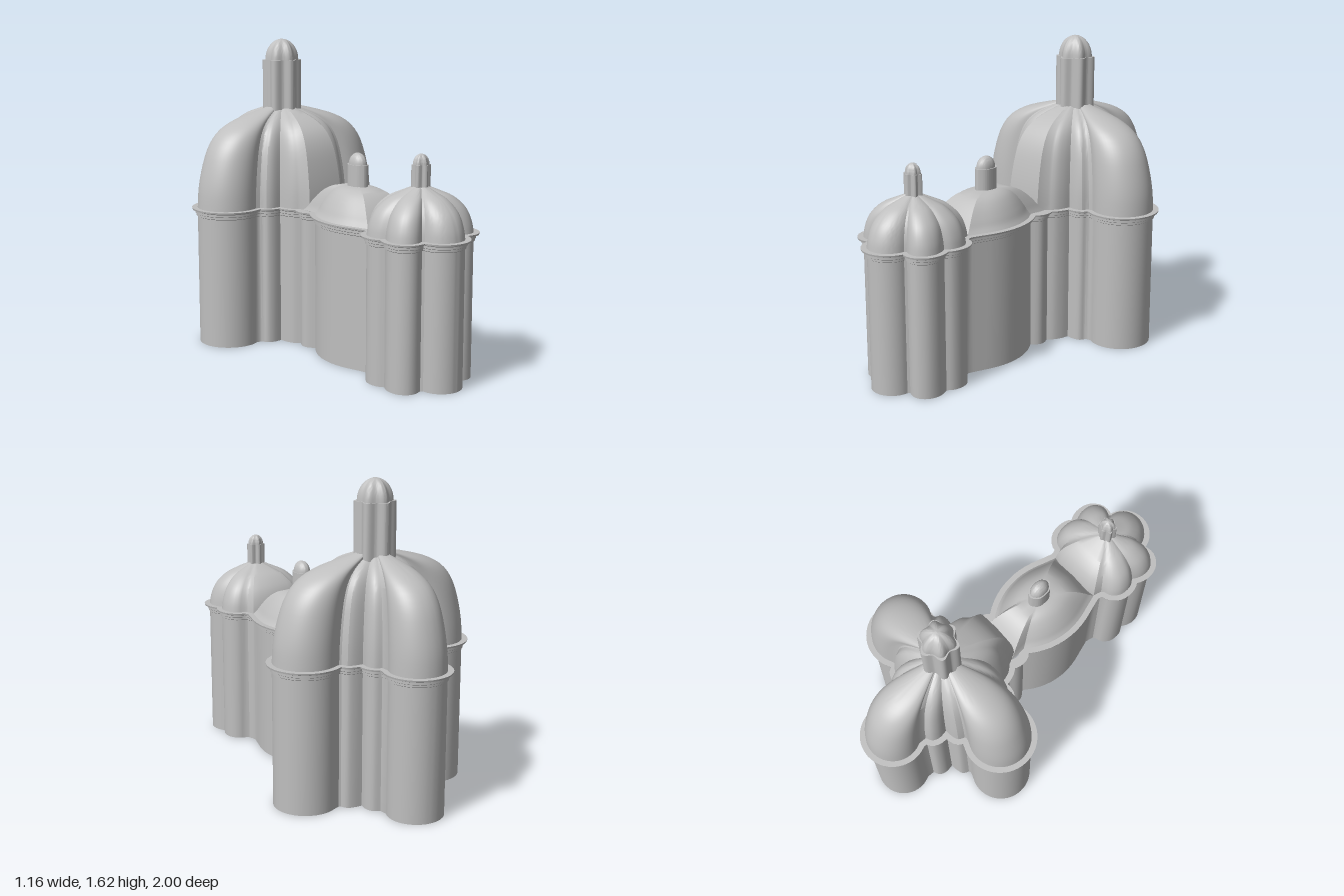
import * as THREE from 'three';
import { toCreasedNormals } from 'three/addons/utils/BufferGeometryUtils.js';

const stone = new THREE.MeshStandardMaterial({ color: 0xbfbfbf, side: THREE.DoubleSide });
stone.name = 'pale grey stone';

// Points on an arc, angles in degrees measured from +x towards +z
function arc(cx, cz, r, a0, a1, n = 8) {
  return Array.from({ length: n + 1 }, (_, i) => {
    const a = THREE.MathUtils.degToRad(a0 + (a1 - a0) * i / n);
    return [cx + r * Math.cos(a), cz + r * Math.sin(a)];
  });
}

// Smooth bays of the floor plan (x > 0 half, back to front); corners fall between bays
const mainBays = [
  arc(0, -0.825, 0.145, -90, 28),
  [[0.128, -0.757], [0.13, -0.715]],
  [[0.13, -0.715], [0.163, -0.698], [0.178, -0.66], [0.172, -0.612]],
  [[0.172, -0.612], [0.215, -0.608], [0.25, -0.595], [0.27, -0.56], [0.302, -0.568]],
  arc(0.385, -0.425, 0.165, -120, 120, 16),
  [[0.302, -0.282], [0.275, -0.275], [0.26, -0.245], [0.225, -0.232], [0.178, -0.235]],
  [[0.178, -0.235], [0.172, -0.195], [0.155, -0.15], [0.127, -0.12]],
];
const linkBay = [[0.127, -0.12], [0.145, -0.085], [0.145, -0.045], [0.115, -0.005]];
const naveBay = [[0.115, -0.005], [0.155, 0.055], [0.19, 0.14], [0.204, 0.24], [0.195, 0.33], [0.168, 0.42], [0.15, 0.48]];
const towerBays = [
  [[0.15, 0.48], [0.165, 0.53], [0.21, 0.547], [0.242, 0.585], [0.25, 0.63], [0.243, 0.67], [0.222, 0.7]],
  [[0.222, 0.7], [0.24, 0.735], [0.248, 0.775], [0.237, 0.825], [0.2, 0.86], [0.16, 0.865], [0.12, 0.85]],
  arc(0, 0.86, 0.11, 0, 90),
];

// Sample the bays with splines, then mirror them into one closed loop
function plan(bays) {
  const half = [];
  for (const bay of bays) {
    const curve = new THREE.CatmullRomCurve3(bay.map(([x, z]) => new THREE.Vector3(x, 0, z)));
    for (const p of curve.getPoints(bay.length > 2 ? bay.length * 2 : 1)) {
      const q = half[half.length - 1];
      if (!q || q.distanceTo(p) > 0.002) half.push(p);
    }
  }
  const mirrored = half.filter((p) => p.x > 0.001).reverse().map((p) => new THREE.Vector3(-p.x, 0, p.z));
  return half.concat(mirrored);
}

// Move a loop outwards (positive) or inwards (negative) and lift it to y
function offset(loop, d, y) {
  const n = loop.length;
  return loop.map((p, i) => {
    const t0 = p.clone().sub(loop[(i + n - 1) % n]).normalize();
    const t1 = loop[(i + 1) % n].clone().sub(p).normalize();
    const t = t0.clone().add(t1).normalize();
    const k = d / Math.max(0.75, t.dot(t1));
    return new THREE.Vector3(p.x + t.z * k, y, p.z - t.x * k);
  });
}

// Shrink a loop towards a centre on the long axis and lift it to y
const shrink = (loop, cz, f, y) => loop.map((p) => new THREE.Vector3(p.x * f, y, cz + (p.z - cz) * f));

// Skin between successive loops
function loft(name, rings, crease = 0.6) {
  const n = rings[0].length;
  const index = [];
  for (let r = 0; r < rings.length - 1; r++) {
    for (let i = 0; i < n; i++) {
      const a = r * n + i, b = r * n + (i + 1) % n;
      index.push(a, a + n, b, b, a + n, b + n);
    }
  }
  const geometry = new THREE.BufferGeometry().setFromPoints(rings.flat());
  geometry.setIndex(index);
  const mesh = new THREE.Mesh(toCreasedNormals(geometry, crease), stone);
  mesh.name = name;
  return mesh;
}

// Ribbed vault: the plan shrinks along a profile of [scale, height fraction]
function dome(name, loop, cz, profile, y0, y1) {
  const curve = new THREE.SplineCurve(profile.map(([f, h]) => new THREE.Vector2(f, h)));
  const rings = curve.getPoints(20).map((p) => shrink(loop, cz, p.x, y0 + (y1 - y0) * p.y));
  return loft(name, rings, 0.5);
}

// Lantern: fluted shaft with a flat rim and a ribbed cap
function lantern(name, cz, rx, rz, flute, y0, y1, y2) {
  const group = new THREE.Group();
  group.name = name;
  const star = (depth, size) => Array.from({ length: 72 }, (_, i) => {
    const a = i / 72 * Math.PI * 2;
    const k = size * (1 - depth * (0.5 - 0.5 * Math.cos(6 * (a - Math.PI / 2))));
    return new THREE.Vector3(Math.cos(a) * rx * k, 0, cz + Math.sin(a) * rz * k);
  });
  const shaft = star(flute, 1);
  group.add(loft(name + 'Shaft', [[1, y0], [1, y1], [0.01, y1]].map(([f, y]) => shrink(shaft, cz, f, y))));
  const cap = star(flute * 0.7, 0.86);
  const rings = [];
  for (let i = 0; i <= 10; i++) {
    const a = i / 10 * Math.PI / 2;
    rings.push(shrink(cap, cz, Math.max(0.01, Math.cos(a)), y1 + (y2 - y1) * Math.sin(a)));
  }
  group.add(loft(name + 'Cap', rings));
  return group;
}

export function createModel() {
  const model = new THREE.Group();
  model.name = 'chapel';

  // Hollow walls with a stepped cornice, open at the bottom
  const outline = plan([...mainBays, linkBay, naveBay, ...towerBays]);
  const section = [
    [0, 0], [0, 0.7], [0.007, 0.704], [0.007, 0.715], [0.012, 0.718], [0.012, 0.73],
    [0.028, 0.736], [0.03, 0.745], [-0.022, 0.745], [-0.022, 0], [0, 0],
  ];
  model.add(loft('wallsAndCornice', section.map(([d, y]) => offset(outline, d, y))));

  // Great dome over the crossing
  const mainPlan = plan([...mainBays, [[0.127, -0.12], [0.105, -0.065]], [[0.105, -0.065], [0, -0.06]]]);
  model.add(dome('mainDome', mainPlan, -0.46,
    [[1, 0], [0.985, 0.2], [0.94, 0.42], [0.87, 0.62], [0.76, 0.77], [0.6, 0.87], [0.4, 0.94], [0.18, 1]], 0.745, 1.258));
  model.add(lantern('mainLantern', -0.46, 0.106, 0.104, 0.24, 1.2, 1.512, 1.625));

  // Low oval dome over the nave
  const navePlan = plan([[[0, -0.1], [0.12, -0.1]], [[0.12, -0.1], [0.115, -0.005]], naveBay, [[0.15, 0.48], [0, 0.5]]]);
  model.add(dome('naveDome', navePlan, 0.21,
    [[1, 0], [0.92, 0.14], [0.83, 0.36], [0.7, 0.62], [0.55, 0.83], [0.38, 0.95], [0.18, 1]], 0.745, 0.91));
  model.add(lantern('naveLantern', 0.21, 0.046, 0.067, 0.04, 0.88, 1.02, 1.08));

  // Ribbed dome over the front tower
  const towerPlan = plan([[[0, 0.46], [0.11, 0.465]], [[0.11, 0.465], [0.15, 0.48]], ...towerBays]);
  model.add(dome('frontDome', towerPlan, 0.7,
    [[1, 0], [0.97, 0.2], [0.9, 0.42], [0.79, 0.6], [0.6, 0.78], [0.37, 0.9], [0.16, 1]], 0.745, 0.978));
  model.add(lantern('frontLantern', 0.7, 0.05, 0.045, 0.28, 0.94, 1.085, 1.138));

  return model;
}
